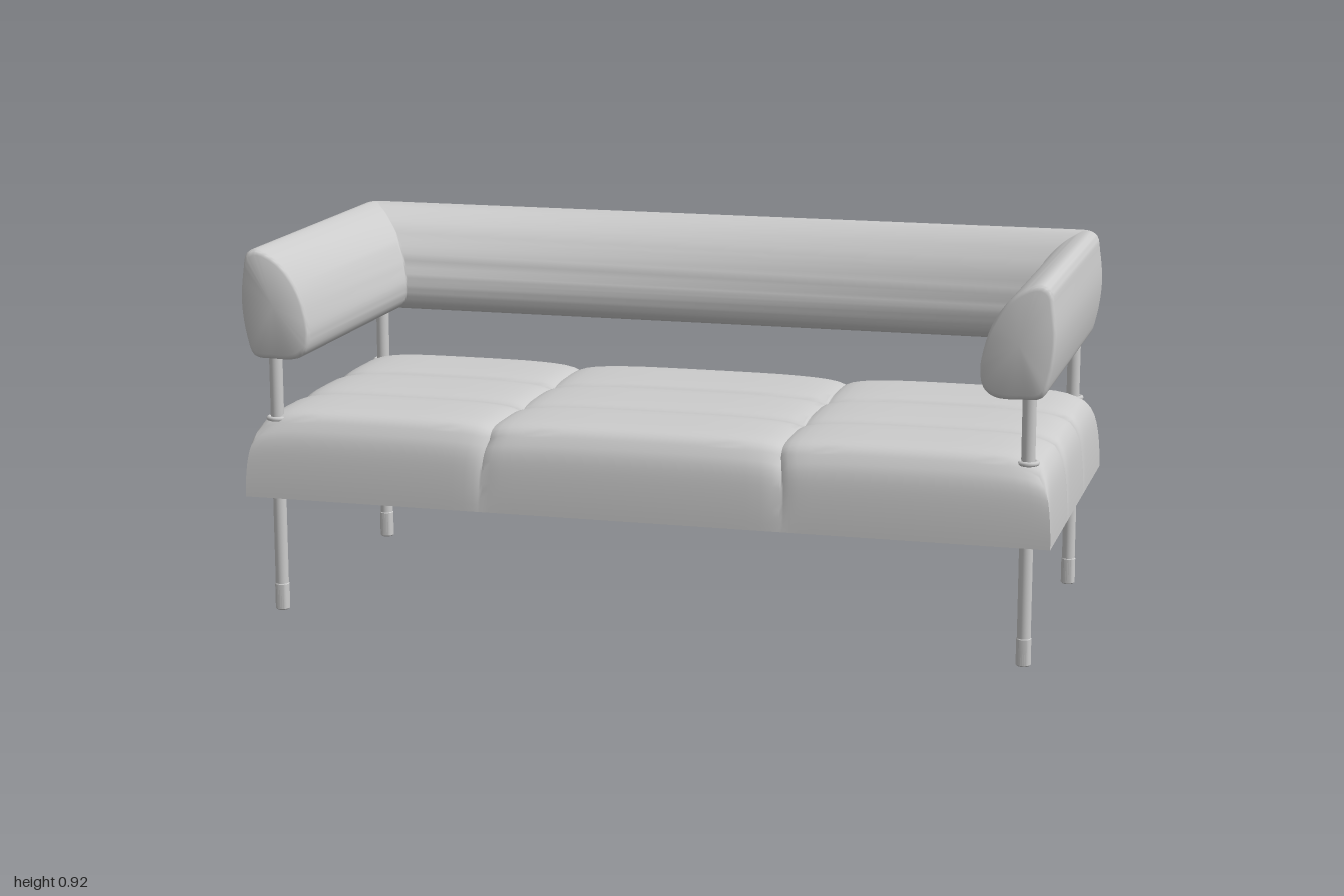
import * as THREE from 'three';
import { toCreasedNormals } from 'three/addons/utils/BufferGeometryUtils.js';

const HX = 1, HZ = 0.435, SEAT_Y = 0.3, SEAT_TOP = 0.517;
const material = new THREE.MeshStandardMaterial({ color: 0xcccccc });

function addMesh(parent, name, geometry) {
  const mesh = new THREE.Mesh(geometry, material);
  mesh.name = name;
  parent.add(mesh);
  return mesh;
}

// Maps a uniform 0..1 coordinate onto panels between seams, denser near each seam.
// s is 0 in the middle of a panel and 1 on its border.
function panel(u, seams) {
  const n = seams.length - 1;
  const i = Math.min(n - 1, Math.floor(u * n + 1e-5));
  const t = 0.5 - 0.5 * Math.cos(Math.PI * Math.min(1, Math.max(0, u * n - i)));
  const s = Math.abs(2 * t - 1);
  const outer = (i === 0 && t < 0.5) || (i === n - 1 && t > 0.5);
  return { at: THREE.MathUtils.lerp(seams[i], seams[i + 1], t), s, outer };
}

// Tufted seat: a box whose vertices form nine pillowed panels
function seatGeometry() {
  const geo = new THREE.BoxGeometry(1, 1, 1, 54, 10, 48);
  const pos = geo.attributes.position;
  const drop = p => (p.outer ? 0.014 * p.s ** 4 + 0.014 * p.s ** 12 : 0.012 * p.s ** 4 + 0.007 * p.s ** 20);
  const groove = p => (p.outer ? 0 : 0.012 * p.s ** 20);
  for (let k = 0; k < pos.count; k++) {
    const px = panel(pos.getX(k) + 0.5, [-HX, -0.39, 0.36, HX]);
    const pz = panel(pos.getZ(k) + 0.5, [-HZ, -0.14, 0.14, HZ]);
    const v = pos.getY(k) + 0.5;
    const inset = 0.016 * v * v + 0.018 * v ** 8;
    const ex = Math.abs(px.at / HX) ** 8, ez = Math.abs(pz.at / HZ) ** 8;
    const x = px.at * (1 - (inset + groove(pz) * ex * v) / HX);
    const z = pz.at * (1 - (inset + groove(px) * ez * v) / HZ);
    const top = SEAT_TOP - drop(px) - drop(pz);
    pos.setXYZ(k, x, SEAT_Y + v * (top - SEAT_Y), z);
  }
  return toCreasedNormals(geo, 0.8);
}

// Wraparound bolster: a teardrop section (inward depth, height) swept along a U
function bolsterGeometry() {
  const section = new THREE.CatmullRomCurve3([
    [0.03, 0.655], [0.012, 0.7], [0, 0.79], [0.007, 0.87], [0.015, 0.908], [0.035, 0.92],
    [0.07, 0.91], [0.11, 0.88], [0.15, 0.82], [0.171, 0.75], [0.175, 0.71], [0.166, 0.672],
    [0.14, 0.652], [0.08, 0.649],
  ].map(([d, y]) => new THREE.Vector3(d, y, 0)), true, 'centripetal').getPoints(56).slice(0, -1);
  const n = section.length, mid = new THREE.Vector3(0.085, 0.78, 0);

  // Half of the U: rounded front end, then the rounded back corner
  const half = [];
  for (const [scale, z] of [[0.9, 0.432], [0.96, 0.429], [0.99, 0.423], [1, 0.412]]) {
    half.push(p => [-1 + mid.x + (p.x - mid.x) * scale, mid.y + (p.y - mid.y) * scale, z]);
  }
  for (let i = 0; i <= 8; i++) {
    const a = (i / 8) * Math.PI / 2;
    half.push(p => {
      const r = Math.max(0.06 - p.x, 0.008);
      return [-1 + p.x + r * (1 - Math.cos(a)), p.y, -0.433 + p.x + r * (1 - Math.sin(a))];
    });
  }
  const mirrored = half.map(f => p => { const [x, y, z] = f(p); return [-x, y, z]; }).reverse();
  const stations = [...half, ...mirrored];

  const points = stations.flatMap(f => section.flatMap(f));
  const index = [];
  for (let i = 0; i < stations.length - 1; i++) {
    for (let j = 0; j < n; j++) {
      const a = i * n + j, b = i * n + (j + 1) % n;
      index.push(a, b, b + n, a, b + n, a + n);
    }
  }
  // Flat end faces
  const centre = points.length / 3, last = (stations.length - 1) * n;
  points.push(...stations[0](mid), ...stations[stations.length - 1](mid));
  for (let j = 0; j < n; j++) {
    const k = (j + 1) % n;
    index.push(centre, k, j, centre + 1, last + j, last + k);
  }
  const geo = new THREE.BufferGeometry();
  geo.setAttribute('position', new THREE.Float32BufferAttribute(points, 3));
  geo.setIndex(index);
  return toCreasedNormals(geo, 0.7);
}

// Post running from the floor through the seat into the bolster
function addLeg(parent, name, x, z) {
  const leg = new THREE.Group();
  leg.name = name;
  leg.position.set(x, 0, z);
  addMesh(leg, 'post', new THREE.CylinderGeometry(0.0165, 0.0165, 0.64, 24)).position.y = 0.385;
  const foot = [[0, 0], [0.015, 0], [0.018, 0.003], [0.018, 0.066], [0.0165, 0.068]]
    .map(([r, y]) => new THREE.Vector2(r, y));
  addMesh(leg, 'foot', toCreasedNormals(new THREE.LatheGeometry(foot, 24), 0.6));
  const collar = addMesh(leg, 'collar', new THREE.TorusGeometry(0.021, 0.006, 8, 24));
  collar.rotation.x = Math.PI / 2;
  collar.position.y = 0.491;
  parent.add(leg);
}

export function createModel() {
  const sofa = new THREE.Group();
  sofa.name = 'sofa';
  addMesh(sofa, 'seat', seatGeometry());
  addMesh(sofa, 'bolster', bolsterGeometry());
  for (const [side, x] of [['Left', 0.935], ['Right', -0.935]]) {
    for (const [end, z] of [['front', 0.375], ['back', -0.373]]) addLeg(sofa, `${end}${side}Leg`, x, z);
  }
  return sofa;
}
